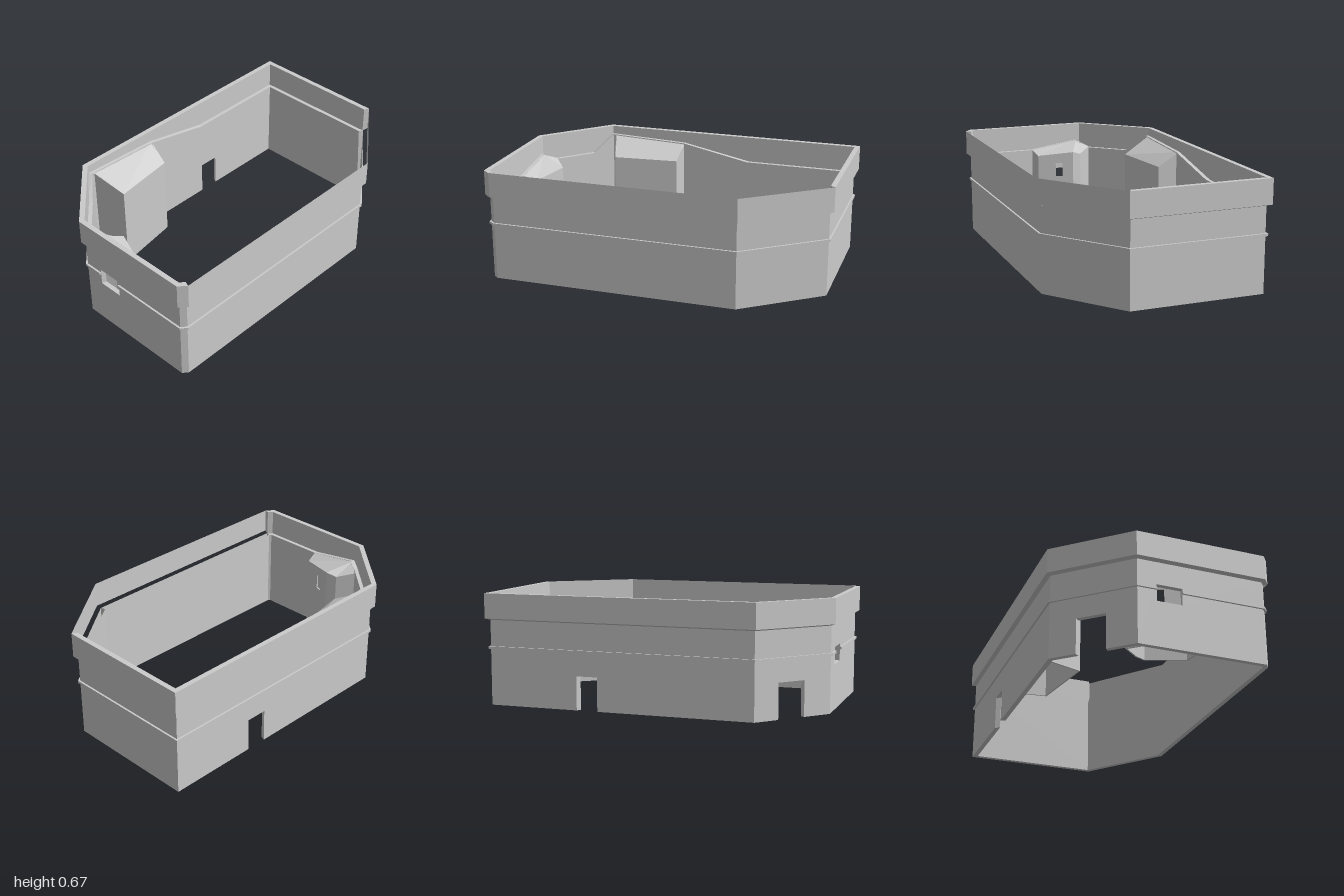
import * as THREE from 'three';

const material = new THREE.MeshStandardMaterial({ color: 0xcccccc, flatShading: true, side: THREE.DoubleSide });

// Wall footprint as [x, z], starting at the front corner on -x
const FOOTPRINT = [[-0.945, 0.575], [0.525, 0.575], [0.975, 0.23], [0.975, -0.575],
  [-0.63, -0.575], [-0.975, -0.2], [-0.975, 0.55]];
const WALL_TOP = 0.507, RIM_TOP = 0.665, WALL = 0.028;

// Mitred offset of a closed outline, positive is outward
function offset(pts, d) {
  const n = pts.length;
  const normal = i => {
    const a = pts[i % n], b = pts[(i + 1) % n];
    const dx = b[0] - a[0], dz = b[1] - a[1], l = Math.hypot(dx, dz);
    return [-dz / l, dx / l];
  };
  return pts.map((p, i) => {
    const m = normal(i + n - 1), k = normal(i);
    const s = d / (1 + m[0] * k[0] + m[1] * k[1]);
    return [p[0] + (m[0] + k[0]) * s, p[1] + (m[1] + k[1]) * s];
  });
}

const mix = (a, b, t) => a + (b - a) * t;

// Extrudes an elevation (u from 0 to 1 along the edge, y up) between two outlines
function panel(name, outer, inner, i, elevation, { holes = [], openTop = null, bevel = 0 } = {}) {
  const shape = new THREE.Shape(elevation.map(p => new THREE.Vector2(...p)));
  for (const [u0, u1, y0, y1] of holes) {
    shape.holes.push(new THREE.Path([[u0, y0], [u0, y1], [u1, y1], [u1, y0]].map(p => new THREE.Vector2(...p))));
  }
  const src = new THREE.ExtrudeGeometry(shape, { depth: 1, bevelEnabled: false }).getAttribute('position');
  const base = Math.min(...elevation.map(p => p[1]));
  const j = (i + 1) % outer.length, out = [];
  for (let t = 0; t < src.count; t += 3) {
    const ids = [t, t + 1, t + 2];
    if (openTop !== null && ids.every(k => src.getY(k) > openTop - 1e-4)) continue;
    for (const k of ids) {
      const u = src.getX(k), y = src.getY(k), w = src.getZ(k);
      out.push(
        mix(mix(inner[i][0], inner[j][0], u), mix(outer[i][0], outer[j][0], u), w),
        y + (y < base + 1e-4 ? bevel * w : 0),
        mix(mix(inner[i][1], inner[j][1], u), mix(outer[i][1], outer[j][1], u), w));
    }
  }
  return meshFrom(name, out);
}

function meshFrom(name, positions) {
  const g = new THREE.BufferGeometry();
  g.setAttribute('position', new THREE.Float32BufferAttribute(positions, 3));
  g.computeVertexNormals();
  const mesh = new THREE.Mesh(g, material);
  mesh.name = name;
  return mesh;
}

const rect = (u0, u1, y0, y1) => [[u0, y0], [u1, y0], [u1, y1], [u0, y1]];

// Wall elevation with an optional doorway notch and a top line from u = 1 back to u = 0
function wallElevation(door, top = [[1, WALL_TOP], [0, WALL_TOP]]) {
  const notch = door ? [[door[0], 0], [door[0], door[2]], [door[1], door[2]], [door[1], 0]] : [];
  return [[0, 0], ...notch, [1, 0], ...top];
}

// Hollow block against a wall: loop of [x, z, top height], last edge lies on the wall
function block(name, loop, holes = {}) {
  const group = new THREE.Group();
  group.name = name;
  const outer = loop.map(p => [p[0], p[1]]), inner = offset(outer, -0.008);
  for (let i = 0; i < loop.length - 1; i++) {
    group.add(panel(name + 'Side', outer, inner, i,
      [[0, 0], [1, 0], [1, loop[i + 1][2]], [0, loop[i][2]]], { holes: holes[i] || [] }));
  }
  const top = [], at = p => [p[0], p[2], p[1]], last = loop[loop.length - 1];
  for (let i = 0; i < loop.length - 2; i++) top.push(...at(last), ...at(loop[i]), ...at(loop[i + 1]));
  group.add(meshFrom(name + 'Roof', top));
  return group;
}

export function createModel() {
  const model = new THREE.Group();
  model.name = 'buildingShell';
  const wallInner = offset(FOOTPRINT, -WALL);
  const rimOuter = offset(FOOTPRINT, 0.025), rimInner = offset(FOOTPRINT, -0.005);
  const bandOuter = offset(FOOTPRINT, 0.011);

  // Walls with doorways, a window and raised tops beside the blocks
  const names = ['frontWall', 'frontCornerWall', 'leftWall', 'backWall', 'backCornerWall', 'rightWall', 'cornerBevel'];
  const doors = { 3: [0.34, 0.42, 0.2], 4: [0.31, 0.65, 0.21] };
  const tops = {
    3: [[1, 0.615], [0.69, 0.595], [0.42, WALL_TOP], [0, WALL_TOP]],
    4: [[1, WALL_TOP], [0.29, WALL_TOP], [0, 0.615]],
    5: [[1, WALL_TOP], [0.46, WALL_TOP], [0.04, 0.555], [0, WALL_TOP]],
  };
  const windowHole = [0.15, 0.35, 0.27, 0.37];
  names.forEach((name, i) => {
    model.add(panel(name, FOOTPRINT, wallInner, i, wallElevation(doors[i], tops[i]), {
      holes: i === 5 ? [windowHole] : [],
      openTop: i < 2 ? WALL_TOP : null,
    }));

    // Thin band around the walls, interrupted by the window
    const spans = i === 5 ? [[0, windowHole[0]], [windowHole[1], 1]] : [[0, 1]];
    for (const [u0, u1] of spans) {
      model.add(panel('band', bandOuter, FOOTPRINT, i, rect(u0, u1, 0.336, 0.351)));
    }

    // Parapet: thin sheets at the front, thick with a sloped underside elsewhere
    if (i < 2) {
      const j = i + 1, [a, b] = [rimOuter[i], rimOuter[j]], y0 = 0.516;
      model.add(meshFrom('frontParapet', [
        a[0], y0, a[1], b[0], y0, b[1], b[0], RIM_TOP, b[1],
        a[0], y0, a[1], b[0], RIM_TOP, b[1], a[0], RIM_TOP, a[1]]));
    } else {
      model.add(panel('parapet', rimOuter, rimInner, i, rect(0, 1, 0.505, RIM_TOP), { bevel: 0.011 }));
    }
  });

  // Interior blocks
  model.add(block('backBlock', [
    [-0.605, -0.56, 0.615], [-0.54, -0.365, 0.517], [-0.145, -0.43, 0.507], [-0.13, -0.56, 0.595]]));
  model.add(block('sideBlock', [
    [-0.95, 0.147, 0.507], [-0.87, 0.13, 0.48], [-0.79, -0.09, 0.505],
    [-0.815, -0.15, 0.485], [-0.89, -0.238, 0.515], [-0.95, -0.17, 0.555]],
  { 1: [[0.5, 0.7, 0.34, 0.43]] }));

  return model;
}
